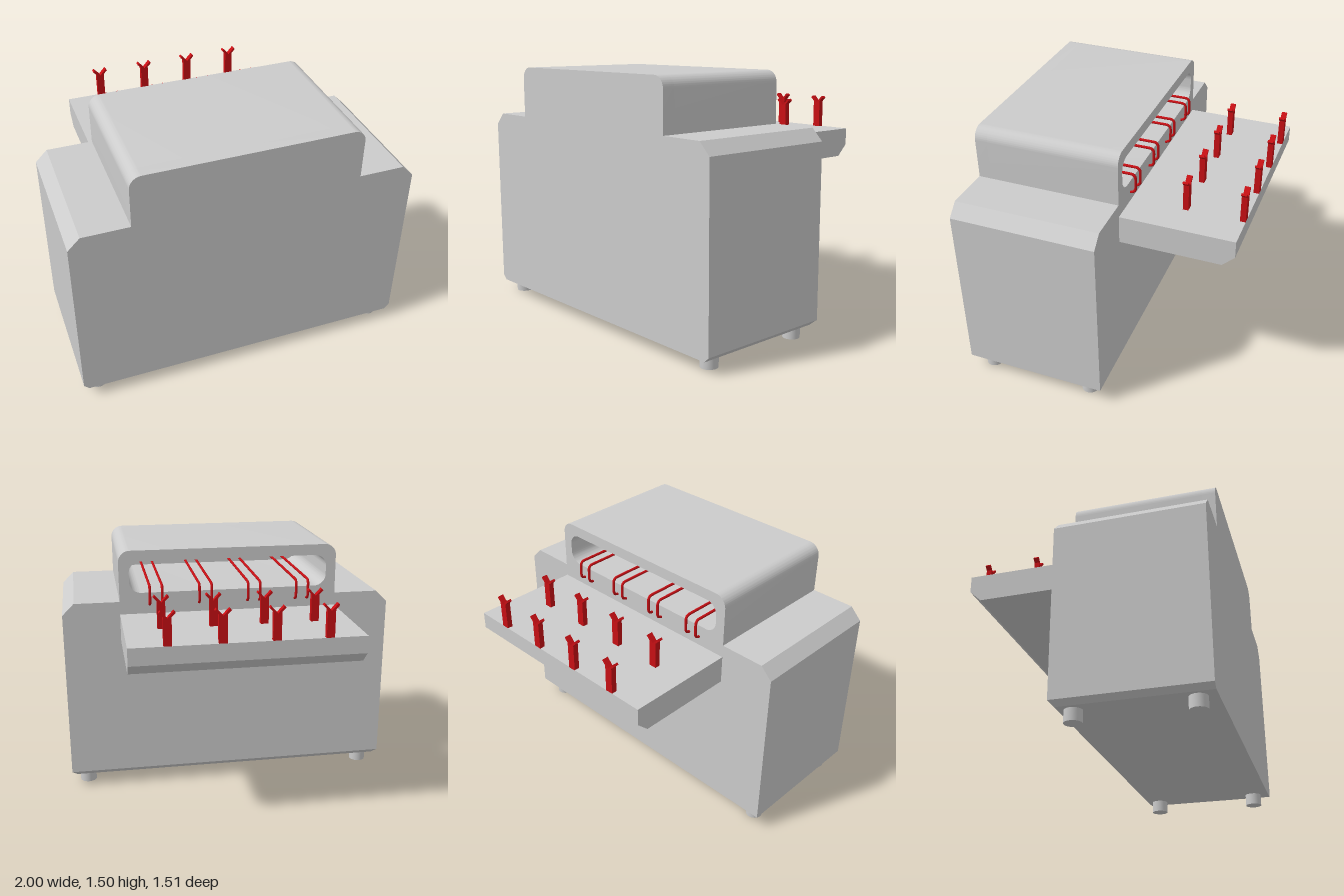
import * as THREE from 'three';
import { toCreasedNormals } from 'three/addons/utils/BufferGeometryUtils.js';

const BACK = -0.095, FRONT = 0.755, SLOT_END = 0.68;
const COLUMNS = [-0.445, -0.148, 0.148, 0.445];

export function createModel() {
  const model = new THREE.Group();
  const grey = new THREE.MeshStandardMaterial({ color: 0xcccccc });
  const red = new THREE.MeshStandardMaterial({ color: 0xc80f14 });

  const add = (name, geometry, material, x = 0, y = 0, z = 0, parent = model) => {
    const mesh = new THREE.Mesh(geometry, material);
    mesh.name = name;
    mesh.position.set(x, y, z);
    parent.add(mesh);
    return mesh;
  };
  const extrude = (shape, depth) => toCreasedNormals(
    new THREE.ExtrudeGeometry(shape, { depth, bevelEnabled: false, curveSegments: 10 }), 0.5);

  // Stepped cabinet outline with a rounded raised hood
  const outline = () => {
    const s = new THREE.Shape();
    s.moveTo(-1, 0.1);
    s.lineTo(1, 0.1);
    s.lineTo(1, 1.12);
    s.lineTo(0.93, 1.19);
    s.lineTo(0.66, 1.19);
    s.lineTo(0.66, 1.425);
    s.absarc(0.59, 1.425, 0.07, 0, Math.PI / 2, false);
    s.lineTo(-0.59, 1.495);
    s.absarc(-0.59, 1.425, 0.07, Math.PI / 2, Math.PI, false);
    s.lineTo(-0.66, 1.19);
    s.lineTo(-0.93, 1.19);
    s.lineTo(-1, 1.12);
    s.closePath();
    return s;
  };

  // Rounded slot opening in the back of the hood
  const slot = new THREE.Path();
  const w = 0.6, lo = 1.24, hi = 1.43, r = 0.07;
  slot.moveTo(-w + r, lo);
  slot.absarc(w - r, lo + r, r, -Math.PI / 2, 0, false);
  slot.absarc(w - r, hi - r, r, 0, Math.PI / 2, false);
  slot.absarc(-w + r, hi - r, r, Math.PI / 2, Math.PI, false);
  slot.absarc(-w + r, lo + r, r, Math.PI, Math.PI * 1.5, false);
  const hollow = outline();
  hollow.holes.push(slot);
  add('cabinet', extrude(hollow, SLOT_END - BACK), grey, 0, 0, BACK);
  add('frontWall', extrude(outline(), FRONT - SLOT_END), grey, 0, 0, SLOT_END);

  // Base tapering inwards at the sides and back
  let base = new THREE.BoxGeometry(2, 0.03, FRONT - BACK).toNonIndexed();
  const p = base.attributes.position;
  for (let i = 0; i < p.count; i++) {
    if (p.getY(i) > 0) continue;
    p.setX(i, Math.sign(p.getX(i)) * 0.97);
    if (p.getZ(i) < 0) p.setZ(i, p.getZ(i) + 0.03);
  }
  base.computeVertexNormals();
  add('base', base, grey, 0, 0.085, (FRONT + BACK) / 2);

  // Feet
  const footGeometry = new THREE.CylinderGeometry(0.05, 0.05, 0.07, 24);
  for (const x of [-0.9, 0.9])
    for (const z of [0.01, 0.655]) add('foot', footGeometry, grey, x, 0.035, z);

  // Rear shelf: side profile drawn in (-z, y) and extruded along x
  const shelfShape = new THREE.Shape([
    [-BACK, 0.945], [0.685, 0.945], [0.755, 1.012], [0.755, 1.113], [-BACK, 1.113],
  ].map(([a, b]) => new THREE.Vector2(a, b)));
  const shelf = extrude(shelfShape, 1.32);
  shelf.translate(0, 0, -0.66);
  shelf.rotateY(Math.PI / 2);
  add('shelf', shelf, grey);

  // Forked posts in two rows on the shelf
  const fork = extrude(new THREE.Shape([
    [-0.023, 0], [0.023, 0], [0.023, 0.163], [0.045, 0.185], [0.036, 0.195],
    [0, 0.155], [-0.036, 0.195], [-0.045, 0.185], [-0.023, 0.163],
  ].map(([a, b]) => new THREE.Vector2(a, b))), 0.032);
  for (const z of [-0.43, -0.755])
    for (const x of COLUMNS) add('forkedPost', fork, red, x, 1.11, z);

  // Paired rods running through the slot, hooked down over its lip
  const rodLength = SLOT_END - BACK;
  const rod = new THREE.CylinderGeometry(0.008, 0.008, rodLength, 8, 1, true);
  rod.rotateX(Math.PI / 2);
  const bend = new THREE.CurvePath();
  const v = (y, z) => new THREE.Vector3(0, y, z);
  bend.add(new THREE.QuadraticBezierCurve3(v(1.287, BACK), v(1.287, -0.126), v(1.256, -0.126)));
  bend.add(new THREE.LineCurve3(v(1.256, -0.126), v(1.2, -0.126)));
  bend.add(new THREE.QuadraticBezierCurve3(v(1.2, -0.126), v(1.17, -0.126), v(1.168, -0.09)));
  const hook = new THREE.TubeGeometry(bend, 24, 0.008, 8);
  for (const column of COLUMNS)
    for (const dx of [-0.037, 0.037]) {
      const group = new THREE.Group();
      group.name = 'hookedRod';
      group.position.x = column + dx;
      add('rod', rod, red, 0, 1.287, (SLOT_END + BACK) / 2, group);
      add('hook', hook, red, 0, 0, 0, group);
      model.add(group);
    }

  return model;
}
